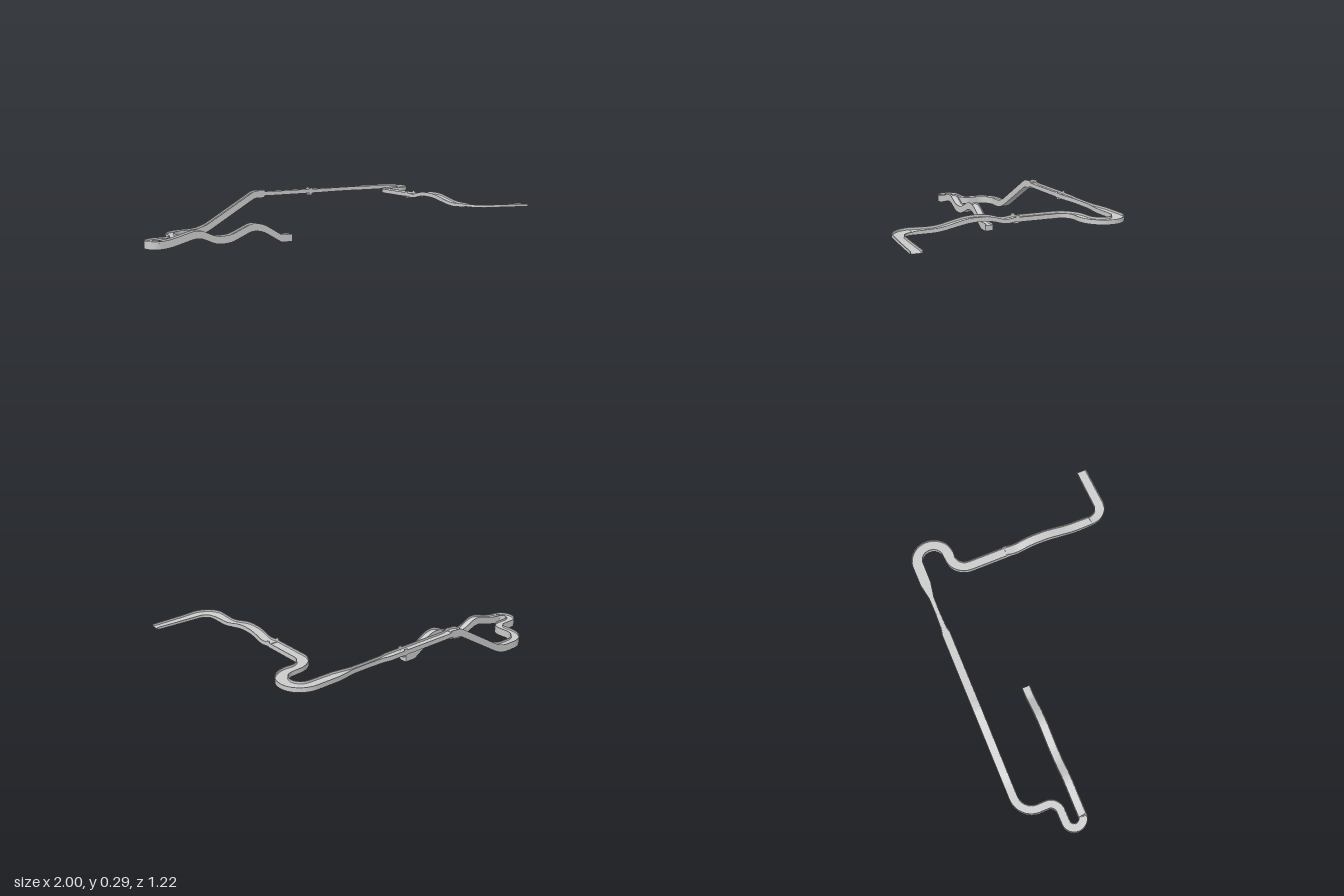
import * as THREE from 'three';
import { toCreasedNormals } from 'three/addons/utils/BufferGeometryUtils.js';

const LIP = 0.004;     // thickness of the side rails
const DEPTH = 0.012;   // floor lies this far below the rail tops

// Station: base position, corner radius, half width, height, bank (right edge raised)
const st = (x, y, z, r, w, h, bank = 0) => ({ p: new THREE.Vector3(x, y, z), r, w, h, bank });

// Round every corner of the station polyline with a circular (conic) fillet
function roundedPath(stations) {
  const out = [];
  const add = s => {
    if (!out.length || out[out.length - 1].p.distanceTo(s.p) > 1e-4) out.push(s);
  };
  stations.forEach((s, i) => {
    const a = stations[i - 1], b = stations[i + 1];
    if (!a || !b || !s.r) return add(s);
    const inDir = a.p.clone().sub(s.p).normalize();
    const outDir = b.p.clone().sub(s.p).normalize();
    const weight = Math.sqrt(Math.max(0, (1 - inDir.dot(outDir)) / 2));
    const p0 = s.p.clone().addScaledVector(inDir, s.r);
    const p2 = s.p.clone().addScaledVector(outDir, s.r);
    const n = weight < 0.85 ? 12 : 5;
    for (let k = 0; k <= n; k++) {
      const t = k / n, c0 = (1 - t) ** 2, c1 = 2 * t * (1 - t) * weight, c2 = t * t;
      const p = new THREE.Vector3().addScaledVector(p0, c0).addScaledVector(s.p, c1)
        .addScaledVector(p2, c2).divideScalar(c0 + c1 + c2);
      add({ ...s, p });
    }
  });
  return out;
}

// Sweep the shallow channel section along the stations, rails kept upright
function channel(name, material, stations) {
  const path = roundedPath(stations), pos = [], index = [];
  const section = ({ w, h }) => [
    [-w, 0], [w, 0], [w, h], [w - LIP, h],
    [w - LIP, h - DEPTH], [LIP - w, h - DEPTH], [LIP - w, h], [-w, h],
  ];
  path.forEach((s, i) => {
    const a = path[Math.max(i - 1, 0)].p, b = path[Math.min(i + 1, path.length - 1)].p;
    const side = new THREE.Vector3(a.z - b.z, 0, b.x - a.x).normalize();
    for (const [u, v] of section(s)) {
      pos.push(s.p.x + side.x * u, s.p.y + v + s.bank * (u / s.w + 1) / 2, s.p.z + side.z * u);
    }
  });
  for (let i = 0; i < path.length - 1; i++) {
    for (let k = 0; k < 8; k++) {
      const a = i * 8 + k, b = i * 8 + (k + 1) % 8;
      index.push(a, a + 8, b, b, a + 8, b + 8);
    }
  }
  // End caps
  const contour = section(path[0]).map(([u, v]) => new THREE.Vector2(u, v));
  const last = (path.length - 1) * 8;
  for (const [a, b, c] of THREE.ShapeUtils.triangulateShape(contour, [])) {
    index.push(a, b, c, last + a, last + c, last + b);
  }
  const geo = new THREE.BufferGeometry();
  geo.setAttribute('position', new THREE.Float32BufferAttribute(pos, 3));
  geo.setIndex(index);
  const mesh = new THREE.Mesh(toCreasedNormals(geo.toNonIndexed(), 0.5), material);
  mesh.name = name;
  return mesh;
}

// Clip where two track sections meet: a tongue below and an ear on each rail
function coupler(material, x, y, z, angle, w, h) {
  const group = new THREE.Group();
  group.name = 'coupler';
  const box = (name, lx, ly, lz, px, py, pz) => {
    const m = new THREE.Mesh(new THREE.BoxGeometry(lx, ly, lz), material);
    m.position.set(px, py, pz);
    m.name = name;
    group.add(m);
  };
  box('tongue', 0.022, 0.014, w * 1.4, 0, -0.005, 0);
  for (const s of [-1, 1]) box('ear', 0.022, h + 0.008, LIP, 0, h / 2 + 0.004, s * (w - LIP / 2));
  group.position.set(x, y, z);
  group.rotation.y = angle;
  return group;
}

export function createModel() {
  const model = new THREE.Group();
  model.name = 'track';
  const grey = new THREE.MeshStandardMaterial({ color: 0xcccccc });

  // Deep section: two humps, hairpin, S-bend, then the long ramp
  const W = 0.025, H = 0.046;
  model.add(channel('humpAndRampSection', grey, [
    st(-0.105, 0, -0.27, 0, W, H),
    st(-0.178, 0, -0.27, 0.012, W, H),
    st(-0.30, 0.076, -0.27, 0.04, W, H),
    st(-0.37, 0.086, -0.27, 0.03, W, H),
    st(-0.51, 0.025, -0.27, 0.035, W, H),
    st(-0.60, 0.024, -0.27, 0.035, W, H),
    st(-0.705, 0.075, -0.27, 0.045, W, H),
    st(-0.89, 0.025, -0.27, 0.05, W, H),
    st(-0.975, 0.025, -0.27, 0.05, W, H),
    st(-0.975, 0.025, -0.37, 0.05, W, H),
    st(-0.795, 0.025, -0.37, 0.06, W, H),
    st(-0.795, 0.025, -0.585, 0.11, W, H),
    st(-0.57, 0.025, -0.585, 0.07, W, H),
    st(-0.205, 0.239, -0.585, 0.02, W, H),
    st(-0.148, 0.239, -0.585, 0, W, H),
  ]));

  // Level straight
  model.add(channel('levelStraight', grey, [
    st(-0.148, 0.252, -0.585, 0, W, 0.03),
    st(-0.10, 0.25, -0.585, 0.02, W, 0.026),
    st(0.205, 0.25, -0.585, 0, W, 0.026),
  ]));

  // Narrow stretch widening into the second hairpin
  const V = 0.031, T = 0.025;
  model.add(channel('narrowAndHairpinSection', grey, [
    st(0.205, 0.25, -0.585, 0, W, T),
    st(0.305, 0.25, -0.585, 0, W, T),
    st(0.345, 0.25, -0.585, 0, 0.017, T),
    st(0.45, 0.25, -0.585, 0, 0.014, T),
    st(0.54, 0.25, -0.585, 0, 0.015, T),
    st(0.64, 0.25, -0.585, 0, 0.032, T),
    st(0.87, 0.25, -0.585, 0.095, 0.033, T),
    st(0.87, 0.25, -0.395, 0.095, 0.033, T),
    st(0.65, 0.25, -0.395, 0.095, V, T),
    st(0.65, 0.25, -0.075, 0, V, T),
  ]));

  // Dip, hill, descent and banked last bend
  model.add(channel('hillAndFinalBendSection', grey, [
    st(0.65, 0.253, -0.075, 0, V, 0.025),
    st(0.65, 0.252, -0.055, 0.01, V, 0.023),
    st(0.65, 0.245, -0.01, 0.025, V, 0.023),
    st(0.65, 0.270, 0.085, 0.04, V, 0.024),
    st(0.65, 0.270, 0.185, 0.04, V, 0.024),
    st(0.65, 0.236, 0.355, 0.04, V, 0.021),
    st(0.65, 0.236, 0.48, 0, V, 0.018, 0.006),
    st(0.65, 0.236, 0.575, 0.09, V, 0.015, 0.01),
    st(0.82, 0.236, 0.575, 0, V, 0.014, 0.006),
    st(0.998, 0.236, 0.575, 0, V, 0.014),
  ]));

  // Joints between sections
  model.add(coupler(grey, -0.145, 0.25, -0.585, 0, W, 0.03));
  model.add(coupler(grey, 0.203, 0.248, -0.585, 0, W, 0.028));
  model.add(coupler(grey, 0.65, 0.252, -0.072, Math.PI / 2, V, 0.024));
  return model;
}
